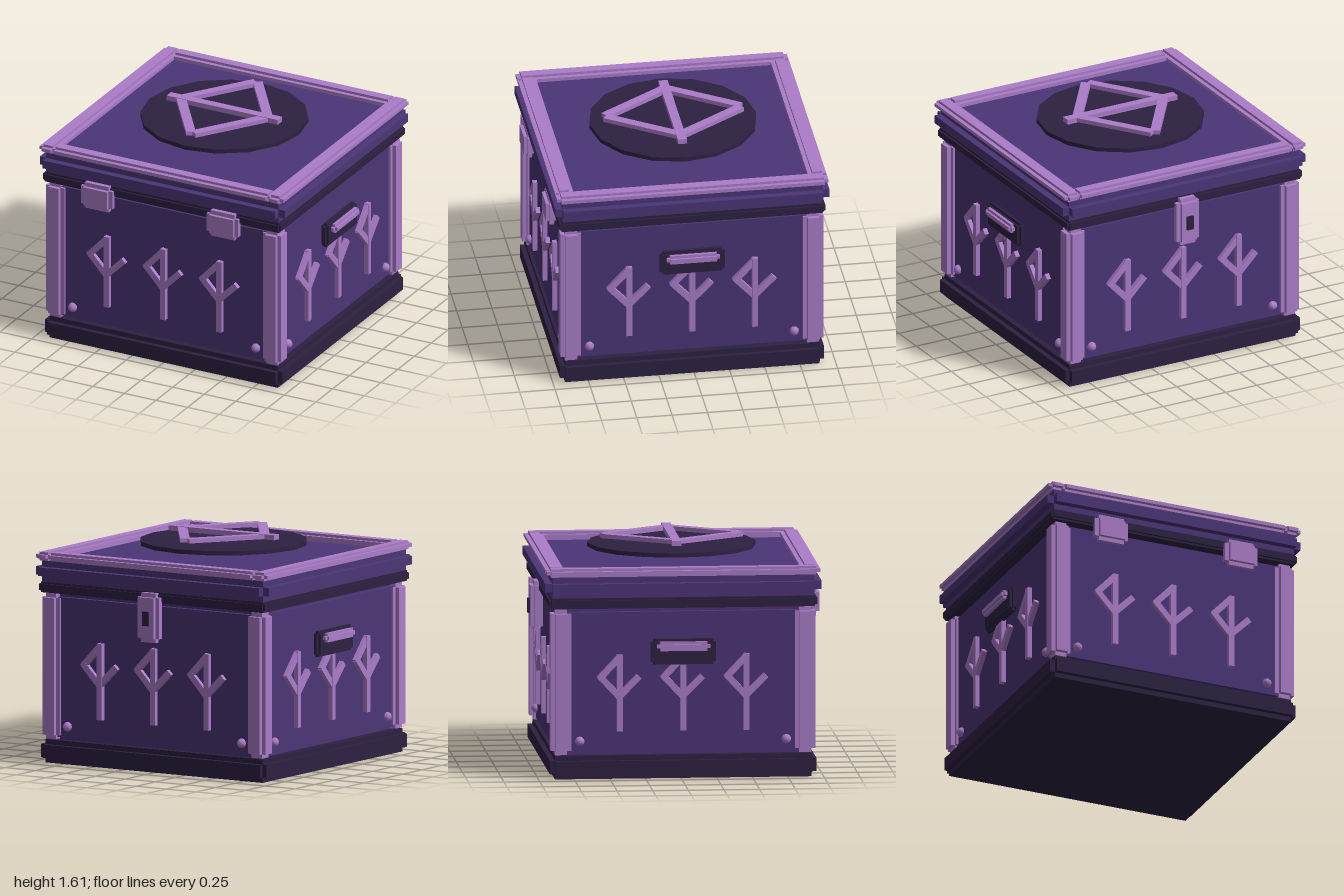
import * as THREE from 'three';

const mat = (name, color) => {
  const m = new THREE.MeshStandardMaterial({ color });
  m.name = name;
  return m;
};

export function createModel() {
  const lilac = mat('lilac trim', 0xab7dc9);
  const purple = mat('purple panel', 0x4b3577);
  const dark = mat('dark plum', 0x2d2142);

  const model = new THREE.Group();
  model.name = 'runeChest';
  const chest = new THREE.Group();
  chest.name = 'chest';
  chest.position.z = 0.015;
  model.add(chest);

  const box = (parent, name, material, size, pos, angle = 0) => {
    const m = new THREE.Mesh(new THREE.BoxGeometry(...size), material);
    m.name = name;
    m.position.set(...pos);
    m.rotation.z = angle;
    parent.add(m);
    return m;
  };

  // Box with stepped edges: three crossing boxes, each full length along one axis
  const stepped = (parent, name, material, size, pos, bevel) => {
    const g = new THREE.Group();
    g.name = name;
    g.position.set(...pos);
    for (let axis = 0; axis < 3; axis++) {
      const s = size.map((v, i) => (i === axis ? v : v - 2 * Math.min(bevel, v * 0.3)));
      box(g, name + 'Block', material, s, [0, 0, 0]);
    }
    parent.add(g);
    return g;
  };

  // Straight bar between two points in the local xy plane
  const bar = (parent, name, a, b, width, depth) => {
    const dx = b[0] - a[0], dy = b[1] - a[1];
    box(parent, name, lilac, [Math.hypot(dx, dy), width, depth],
      [(a[0] + b[0]) / 2, (a[1] + b[1]) / 2, 0], Math.atan2(dy, dx));
  };

  // Main stack: base, body, rim, lid
  stepped(chest, 'base', dark, [1.88, 0.165, 1.87], [0, 0.0825, 0], 0.035);
  stepped(chest, 'body', purple, [1.77, 1.06, 1.77], [0, 0.68, 0], 0.035);
  stepped(chest, 'rim', dark, [1.88, 0.075, 1.88], [0, 1.2425, 0], 0.015);
  stepped(chest, 'lid', purple, [1.94, 0.15, 1.94], [0, 1.355, 0], 0.05);

  // Corner posts and lid trim
  for (const sx of [-1, 1]) {
    for (const sz of [-1, 1]) {
      stepped(chest, 'cornerPost', lilac, [0.145, 1.03, 0.145],
        [sx * 0.8575, 0.685, sz * 0.8575], 0.03);
    }
    stepped(chest, 'lidSideTrim', lilac, [0.13, 0.06, 1.92], [sx * 0.9, 1.46, 0], 0.03);
    stepped(chest, 'lidEndTrim', lilac, [1.74, 0.06, 0.13], [0, 1.46, sx * 0.895], 0.03);
  }

  // Four walls carrying runes and rivets
  for (let i = 0; i < 4; i++) {
    const wall = new THREE.Group();
    wall.name = 'wallDecor';
    wall.rotation.y = i * Math.PI / 2;
    chest.add(wall);
    for (const x of [-0.445, 0, 0.445]) {
      const rune = new THREE.Group();
      rune.name = 'rune';
      rune.position.set(x, 0, 0.895);
      bar(rune, 'runeStem', [0, 0.335], [0, 0.875], 0.042, 0.045);
      bar(rune, 'runeRightArm', [0, 0.585], [0.135, 0.72], 0.045, 0.043);
      bar(rune, 'runeLeftArm', [0, 0.575], [-0.14, 0.725], 0.045, 0.041);
      bar(rune, 'runeUpperArm', [-0.145, 0.705], [0.005, 0.865], 0.045, 0.039);
      wall.add(rune);
    }
    for (const x of [-0.725, 0.725]) {
      const rivet = new THREE.Mesh(new THREE.SphereGeometry(0.034, 10, 6), lilac);
      rivet.name = 'rivet';
      rivet.position.set(x, 0.265, 0.89);
      wall.add(rivet);
    }
    // Side walls get a handle
    if (i % 2) {
      stepped(wall, 'handlePlate', dark, [0.46, 0.18, 0.06], [0, 0.895, 0.91], 0.02);
      stepped(wall, 'handle', lilac, [0.375, 0.065, 0.055], [0, 0.938, 0.957], 0.022);
    }
  }

  // Hinges on the front
  for (const sx of [-1, 1]) {
    stepped(chest, 'hinge', lilac, [0.25, 0.195, 0.08], [sx * 0.4975, 1.188, 0.945], 0.03);
  }

  // Lock on the back
  stepped(chest, 'lockPlate', lilac, [0.18, 0.35, 0.09], [0, 1.103, -0.955], 0.03);
  box(chest, 'keyhole', dark, [0.05, 0.1, 0.03], [0, 1.1, -1.0]);

  // Lid medallion
  const disc = new THREE.Mesh(new THREE.CylinderGeometry(0.59, 0.59, 0.03, 16), dark);
  disc.name = 'medallion';
  disc.position.set(0, 1.525, -0.005);
  chest.add(disc);

  // Diamond emblem with a crossbar, laid flat above the medallion
  const emblem = new THREE.Group();
  emblem.name = 'emblem';
  emblem.position.set(0, 1.588, -0.005);
  emblem.rotation.x = -Math.PI / 2;
  chest.add(emblem);
  bar(emblem, 'emblemCrossbar', [-0.44, 0], [0.44, 0], 0.065, 0.036);
  for (const sx of [-1, 1]) {
    for (const sy of [-1, 1]) {
      bar(emblem, 'emblemSide', [sx * 0.355, -sy * 0.015], [sx * 0.01, sy * 0.48], 0.068, 0.03);
    }
  }
  return model;
}
